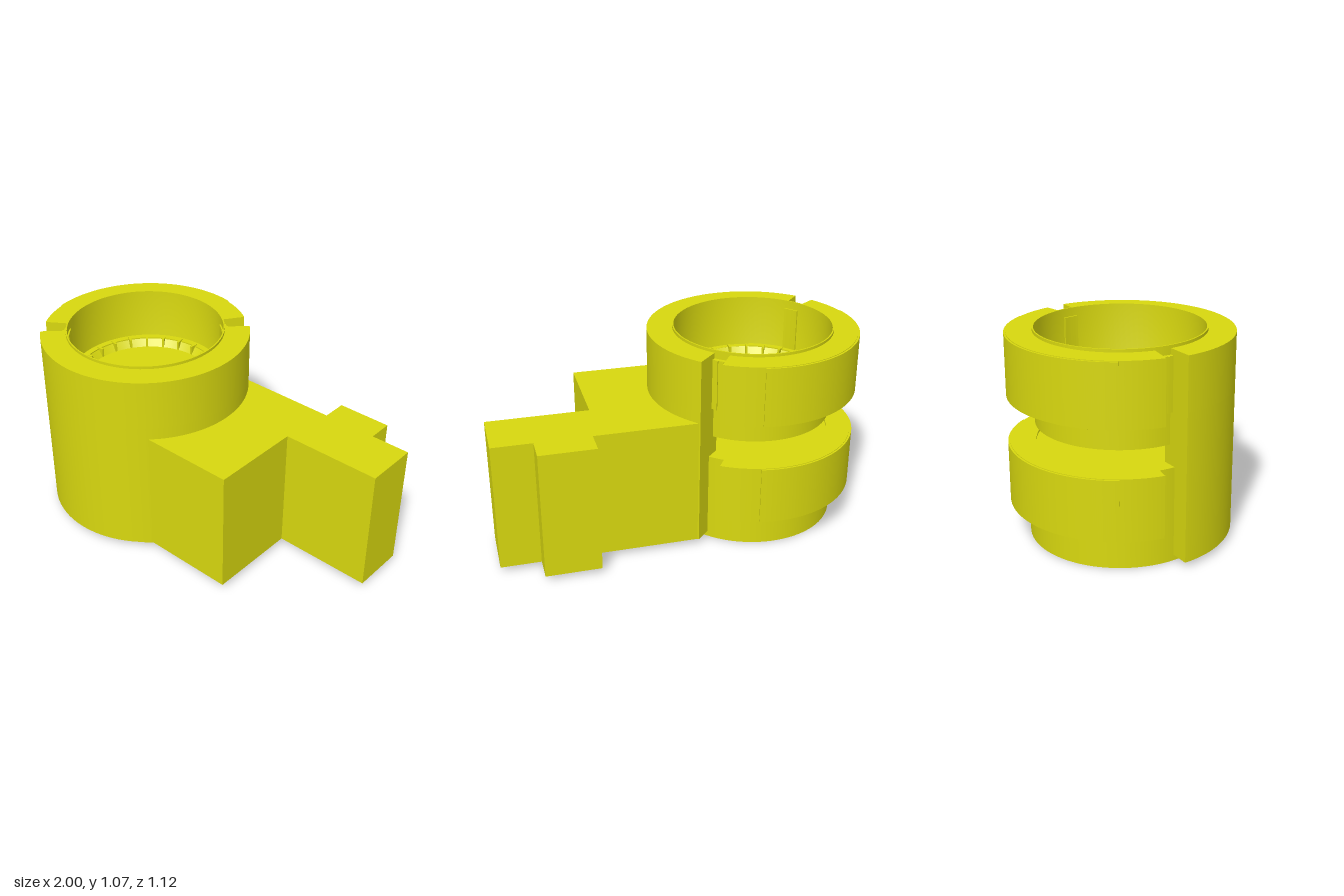
import * as THREE from 'three';
import { toCreasedNormals } from 'three/addons/utils/BufferGeometryUtils.js';

const CX = -0.44; // axis of the round holder
const rad = THREE.MathUtils.degToRad;
const mat = new THREE.MeshStandardMaterial({ color: 0xd8d80f, side: THREE.DoubleSide });

export function createModel() {
  const model = new THREE.Group();
  const holder = new THREE.Group();
  holder.name = 'holder';
  holder.position.x = CX;
  model.add(holder);

  const add = (parent, name, geo) => {
    const mesh = new THREE.Mesh(toCreasedNormals(geo, rad(25)), mat);
    mesh.name = name;
    parent.add(mesh);
    return mesh;
  };

  // Plan outline (x, z) extruded between two heights
  const prism = (shape, y0, y1) => new THREE.ExtrudeGeometry(shape, { depth: y1 - y0, bevelEnabled: false, curveSegments: 56 })
    .rotateX(Math.PI / 2).translate(0, y1, 0);

  // Ring sector; angles run from +x towards +z
  const sector = (name, r0, r1, a0, a1, y0, y1) => {
    const s = new THREE.Shape();
    s.absarc(0, 0, r1, rad(a0), rad(a1), false);
    s.absarc(0, 0, r0, rad(a1), rad(a0), true);
    return add(holder, name, prism(s, y0, y1));
  };

  const lathe = (name, pts) => add(holder, name,
    new THREE.LatheGeometry(pts.map(([x, y]) => new THREE.Vector2(x, y)), 96));

  // Small block lying along a radius
  const rib = (name, r0, r1, angle, y0, y1, width) => {
    const g = new THREE.BoxGeometry(r1 - r0, y1 - y0, width).translate((r0 + r1) / 2, (y0 + y1) / 2, 0);
    add(holder, name, g).rotation.y = -rad(angle);
  };

  // Half shell facing the arm side
  sector('frontShellLower', 0.386, 0.56, -45, 135, 0.03, 0.78);
  sector('frontShellUpper', 0.422, 0.56, -45, 135, 0.78, 1.05);

  // Two clamp bands closing the back, each with a thicker middle
  for (const [name, y0, y1] of [['upperBand', 0.73, 1.05], ['lowerBand', 0.18, 0.495]]) {
    sector(name, 0.42, 0.55, 146, 304, y0, y1);
    sector(name + 'Pad', 0.54, 0.56, 168, 282, y0 + 0.005, y1 - 0.003);
    // Collar and fine ribs in the two split gaps
    for (const a of [135, 304]) {
      sector(name + 'Collar', 0.41, 0.445, a, a + 11, y0 + 0.02, y1 - 0.03);
      for (const d of [3.5, 7.5]) rib(name + 'GapRib', 0.43, 0.452, a + d, y0 + 0.02, y1 - 0.03, 0.008);
    }
  }
  for (let a = 152; a <= 298; a += 8) rib('bandRib', 0.44, 0.53, a, 0.72, 0.735, 0.012);

  // Upper cup with a recessed floor and a groove around it
  lathe('upperCup', [[0, 0.585], [0.425, 0.585], [0.425, 1.065], [0.418, 1.065], [0.418, 0.78],
    [0.385, 0.62], [0.384, 0.78], [0.355, 0.74], [0, 0.74]]);
  // Ledge covers the groove except for a slot at the front
  sector('cupLedge', 0.383, 0.42, 107, 403, 0.62, 0.785);
  for (let a = 0; a < 360; a += 15) rib('ledgeRib', 0.355, 0.4, a, 0.735, 0.79, 0.012);

  // Lower cylinder
  lathe('base', [[0, 0], [0.465, 0], [0.465, 0.485], [0, 0.485]]);
  rib('baseCatch', 0.45, 0.54, 47, 0.01, 0.035, 0.05);

  // Side arm with stepped end and rear tab
  const arm = new THREE.Shape();
  arm.moveTo(-0.05, 0.395);
  for (const [x, z] of [[0.465, 0.395], [0.465, -0.1], [1, -0.1], [1, -0.39], [0.79, -0.39],
    [0.79, -0.525], [0.5, -0.525], [0.5, -0.39], [-0.05, -0.39]]) arm.lineTo(x, z);
  arm.absarc(CX, 0, 0.55, rad(-45), rad(45), false);
  add(model, 'sideArm', prism(arm, 0.03, 0.715));

  return model;
}
